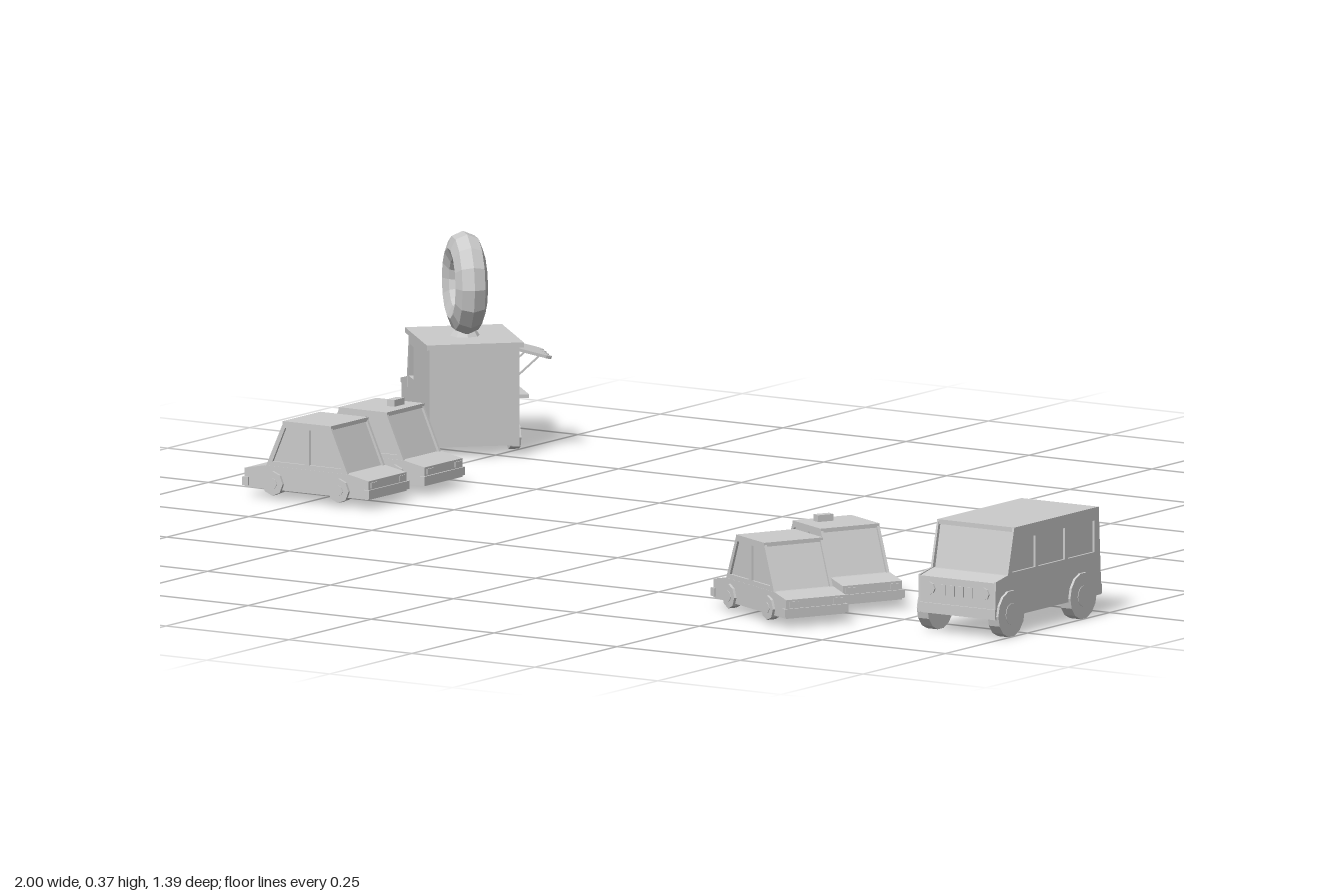
import * as THREE from 'three';

const mat = new THREE.MeshStandardMaterial({ color: 0xcccccc, flatShading: true });

function add(group, name, geo, x = 0, y = 0, z = 0) {
  const m = new THREE.Mesh(geo, mat);
  m.name = name;
  m.position.set(x, y, z);
  group.add(m);
  return m;
}
const box = (g, name, w, h, d, x, y, z) => add(g, name, new THREE.BoxGeometry(w, h, d), x, y, z);

// Extrudes a side profile of [z, y] points across x, centred; holes are further profiles
function profile(points, width, holes = []) {
  const vecs = (list) => list.map(([z, y]) => new THREE.Vector2(z, y));
  const shape = new THREE.Shape(vecs(points));
  for (const h of holes) shape.holes.push(new THREE.Path(vecs(h)));
  const geo = new THREE.ExtrudeGeometry(shape, { depth: width, bevelEnabled: false });
  return geo.translate(0, 0, -width / 2).rotateY(-Math.PI / 2);
}

// Pair of thin side frames around recessed windows
function sideFrames(g, points, holes, halfWidth, t) {
  for (const s of [-1, 1]) add(g, s > 0 ? 'leftSideFrame' : 'rightSideFrame', profile(points, t, holes), s * (halfWidth - t / 2));
}

// Four wheels with small hubs
function wheels(g, r, w, halfTrack, y, zs, sides) {
  for (const z of zs) for (const s of [-1, 1]) {
    add(g, 'wheel', new THREE.CylinderGeometry(r, r, w, sides).rotateZ(Math.PI / 2), s * (halfTrack - w / 2), y, z);
    add(g, 'hub', new THREE.CylinderGeometry(r * 0.45, r * 0.45, 0.002, sides).rotateZ(Math.PI / 2), s * halfTrack, y, z);
  }
}

function place(g, x, z, angle) {
  g.position.set(x, 0, z);
  g.rotation.y = angle;
  return g;
}

function createCar(withSign) {
  const g = new THREE.Group();
  g.name = withSign ? 'carWithRoofSign' : 'car';
  // Lower body and bumpers
  add(g, 'lowerBody', profile([[-0.126, 0.02], [0.126, 0.02], [0.126, 0.052], [0.085, 0.06], [-0.085, 0.06], [-0.126, 0.052]], 0.115));
  for (const s of [-1, 1]) {
    box(g, 'bumper', 0.123, 0.014, 0.012, 0, 0.03, s * 0.123);
    for (const x of [-0.043, 0.043]) box(g, s > 0 ? 'headlight' : 'tailLight', 0.018, 0.009, 0.004, x, 0.044, s * 0.126);
  }
  // Cabin: glass core, pillared sides, roof
  add(g, 'cabinGlass', profile([[-0.08, 0.055], [0.08, 0.055], [0.045, 0.134], [-0.045, 0.134]], 0.106));
  sideFrames(g, [[-0.085, 0.055], [0.085, 0.055], [0.048, 0.137], [-0.048, 0.137]],
    [[[-0.07, 0.068], [-0.005, 0.068], [-0.005, 0.128], [-0.044, 0.128]],
      [[0.005, 0.068], [0.07, 0.068], [0.044, 0.128], [0.005, 0.128]]], 0.057, 0.005);
  box(g, 'roof', 0.114, 0.007, 0.098, 0, 0.1355, 0);
  wheels(g, 0.021, 0.016, 0.062, 0.031, [-0.067, 0.067], 8);
  if (withSign) box(g, 'roofSign', 0.03, 0.013, 0.015, 0.013, 0.144, 0.02);
  return g;
}

function createVan() {
  const g = new THREE.Group();
  g.name = 'van';
  const rect = (z0, z1) => [[z0, 0.112], [z1, 0.112], [z1, 0.166], [z0, 0.166]];
  // Body with recessed glass
  add(g, 'lowerBody', profile([[-0.16, 0.037], [0.16, 0.037], [0.16, 0.1], [0.122, 0.108], [-0.158, 0.108]], 0.152));
  add(g, 'cabinGlass', profile([[-0.154, 0.1], [0.118, 0.1], [0.1, 0.182], [-0.149, 0.182]], 0.148));
  sideFrames(g, [[-0.161, 0.037], [0.161, 0.037], [0.16, 0.102], [0.123, 0.109], [0.104, 0.187], [-0.153, 0.187]],
    [rect(-0.14, -0.06), rect(-0.05, 0.03), [[0.04, 0.112], [0.11, 0.112], [0.098, 0.166], [0.04, 0.166]]], 0.0785, 0.004);
  box(g, 'roof', 0.157, 0.008, 0.256, 0, 0.184, -0.0245);
  box(g, 'rearPanel', 0.15, 0.014, 0.008, 0, 0.176, -0.15);
  // Front and rear fittings
  for (const s of [-1, 1]) {
    box(g, 'bumper', 0.157, 0.016, 0.01, 0, 0.047, s * 0.158);
    for (const x of [-0.055, 0.055]) {
      add(g, s > 0 ? 'headlight' : 'tailLight',
        new THREE.CylinderGeometry(0.011, 0.011, 0.005, 8).rotateX(Math.PI / 2), x, 0.08, s * 0.1605);
    }
  }
  for (let i = 0; i < 4; i++) box(g, 'grilleSlot', 0.009, 0.018, 0.003, -0.027 + i * 0.018, 0.079, 0.161);
  wheels(g, 0.04, 0.022, 0.083, 0.043, [-0.1, 0.119], 14);
  return g;
}

function createTruck() {
  const g = new THREE.Group();
  g.name = 'foodTruck';
  // Body: core plus side skins, the serving hatch cut through the right side
  const side = [[-0.12, 0.02], [0.125, 0.02], [0.125, 0.1], [0.078, 0.112], [0.06, 0.192], [-0.12, 0.192]];
  const door = [[0.02, 0.116], [0.064, 0.116], [0.052, 0.172], [0.02, 0.172]];
  const hatch = [[-0.1, 0.105], [0, 0.105], [0, 0.172], [-0.1, 0.172]];
  add(g, 'bodyCore', profile([[-0.119, 0.022], [0.123, 0.022], [0.123, 0.1], [0.073, 0.112], [0.055, 0.19], [-0.119, 0.19]], 0.134));
  add(g, 'leftSide', profile(side, 0.012, [door]), 0.0715);
  add(g, 'rightSide', profile(side, 0.012, [door, hatch]), -0.0715);
  add(g, 'hood', profile([[0.07, 0.095], [0.127, 0.095], [0.127, 0.102], [0.07, 0.114]], 0.158));
  box(g, 'roof', 0.167, 0.009, 0.19, 0, 0.1945, -0.031);
  box(g, 'frontBumper', 0.162, 0.014, 0.01, 0, 0.034, 0.124);
  box(g, 'grille', 0.06, 0.03, 0.004, 0, 0.072, 0.126);
  for (const x of [-0.054, 0.054]) box(g, 'headlight', 0.022, 0.016, 0.005, x, 0.075, 0.126);
  wheels(g, 0.023, 0.018, 0.083, 0.033, [-0.085, 0.06], 8);

  // Serving counter and scalloped awning on struts
  box(g, 'counter', 0.024, 0.006, 0.1, -0.086, 0.102, -0.05);
  const awning = new THREE.Group();
  awning.name = 'awning';
  awning.position.set(-0.077, 0.182, -0.046);
  awning.rotation.z = 0.28;
  for (let i = 0; i < 4; i++) {
    const z = (i - 1.5) * 0.0235;
    box(awning, 'awningStripe', 0.054, 0.005, 0.0235, -0.027, 0, z);
    add(awning, 'awningScallop', new THREE.CylinderGeometry(0.01175, 0.01175, 0.005, 8), -0.054, 0, z);
  }
  g.add(awning);
  for (const z of [-0.09, -0.004]) {
    const strut = box(g, 'awningStrut', 0.003, 0.058, 0.003, -0.098, 0.152, z);
    strut.rotation.z = 0.85;
  }

  // Ring-shaped roof ornament on its stand
  add(g, 'ornamentStand', new THREE.CylinderGeometry(0.018, 0.026, 0.012, 8), 0, 0.204, -0.036);
  add(g, 'ringOrnament', new THREE.TorusGeometry(0.06, 0.028, 8, 14).rotateY(Math.PI / 2), 0, 0.289, -0.036);
  return g;
}

export function createModel() {
  const model = new THREE.Group();
  model.name = 'parkedVehicles';
  const slant = THREE.MathUtils.degToRad(-117);
  model.add(
    place(createTruck(), -0.853, -0.548, -Math.PI * 0.75),
    place(createCar(true), -0.748, -0.15, Math.PI / 2),
    place(createCar(false), -0.748, 0.02, Math.PI / 2),
    place(createCar(true), 0.548, 0.406, slant),
    place(createCar(false), 0.548, 0.578, slant),
    place(createVan(), 0.914, 0.425, 0),
  );
  return model;
}
